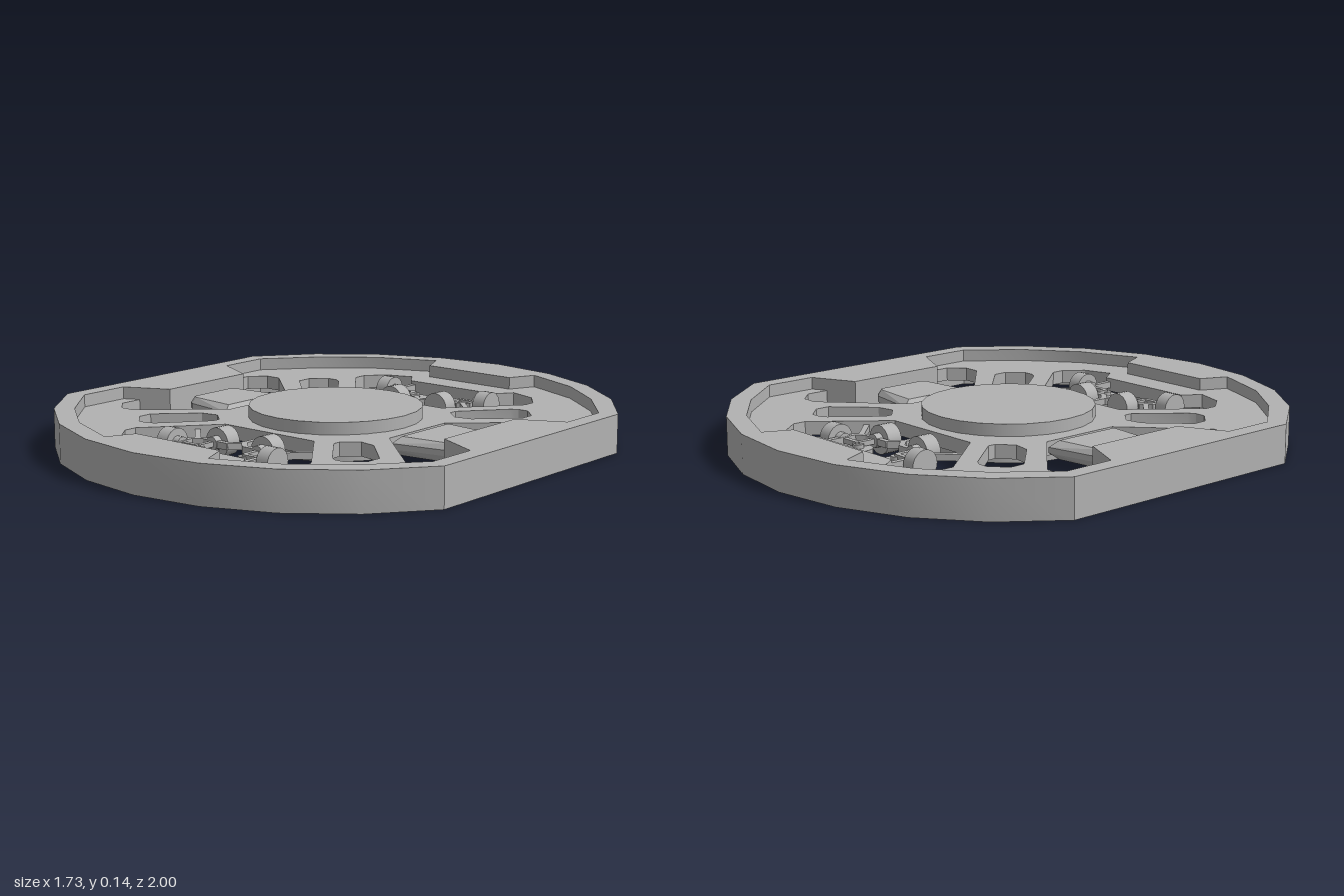
import * as THREE from 'three';
import { toCreasedNormals } from 'three/addons/utils/BufferGeometryUtils.js';
import { ConvexGeometry } from 'three/addons/geometries/ConvexGeometry.js';

const grey = new THREE.MeshStandardMaterial({ color: 0xb2b2b2 });
grey.name = 'hull grey';

const MID = 0.07; // mid height of the whole ring

function add(parent, name, geometry, x = 0, y = 0, z = 0) {
  const mesh = new THREE.Mesh(geometry, grey);
  mesh.name = name;
  mesh.position.set(x, y, z);
  parent.add(mesh);
  return mesh;
}

const flip = (pts, sx, sz) => pts.map(([x, z]) => [x * sx, z * sz]);

// Mirror a quarter outline (from the x axis round to the z axis) into a closed loop
function fourWay(q) {
  return [...q, ...flip(q, -1, 1).reverse(), ...flip(q, -1, -1), ...flip(q, 1, -1).reverse()];
}

const toPath = (pts, Type = THREE.Path) => new Type(pts.map(([x, z]) => new THREE.Vector2(x, z)));

// Horizontal slab with holes between two heights
function slab(outline, holes, y0, y1) {
  const shape = toPath(outline, THREE.Shape);
  shape.holes = holes.map((h) => toPath(h));
  const g = new THREE.ExtrudeGeometry(shape, { depth: y1 - y0, bevelEnabled: false });
  g.rotateX(-Math.PI / 2).translate(0, y0, 0);
  return toCreasedNormals(g, 0.35);
}

// Bar lying flat between two points
function bar(parent, name, [x0, z0], [x1, z1], width, height, y = MID) {
  const length = Math.hypot(x1 - x0, z1 - z0);
  const m = add(parent, name, new THREE.BoxGeometry(length, height, width), (x0 + x1) / 2, y, (z0 + z1) / 2);
  m.rotation.y = -Math.atan2(z1 - z0, x1 - x0);
}

// Three small drums on a bent arm, for one quadrant
function thrusterCluster(sx, sz) {
  const g = new THREE.Group();
  g.name = 'thrusterCluster';
  const cx = 0.105 * sx, cz = 0.595 * sz;
  const drum = (len, r = 0.052) => new THREE.CylinderGeometry(r, r, len, 20);
  add(g, 'sideDrum', drum(0.05).rotateZ(Math.PI / 2), 0.231 * sx, MID, cz);
  add(g, 'sideNeck', drum(0.03, 0.025).rotateZ(Math.PI / 2), 0.195 * sx, MID, cz);
  add(g, 'innerDrum', drum(0.058).rotateX(Math.PI / 2), cx, MID, 0.475 * sz);
  add(g, 'innerNeck', drum(0.03, 0.025).rotateX(Math.PI / 2), cx, MID, 0.517 * sz);
  add(g, 'lowerDrum', drum(0.045), cx, 0.035, cz);
  bar(g, 'sideArm', [cx, cz], [0.2 * sx, cz], 0.018, 0.018);
  bar(g, 'innerArm', [cx, cz], [cx, 0.51 * sz], 0.018, 0.018);
  add(g, 'lowerNeck', drum(0.02, 0.02), cx, 0.062, cz);
  return g;
}

// Thin braces holding the clusters, for one quadrant
function braces(sx, sz) {
  const g = new THREE.Group();
  g.name = 'braces';
  const links = [
    [[0, 0.48], [0.04, 0.52]],
    [[0.035, 0.52], [0.155, 0.52]],
    [[0.15, 0.52], [0.187, 0.545]],
    [[0.187, 0.54], [0.187, 0.70]],
    [[0.17, 0.53], [0.27, 0.43]],
  ];
  for (const [a, b] of links) {
    bar(g, 'brace', [a[0] * sx, a[1] * sz], [b[0] * sx, b[1] * sz], 0.02, 0.024);
  }
  return g;
}

// Chamfered pod, wider towards the hub
function podGeometry(s) {
  const pts = [];
  const ring = (y, xIn, xOut, zIn, zOut) => {
    for (const k of [-1, 1]) {
      pts.push(new THREE.Vector3(xIn * s, y, zIn * k), new THREE.Vector3((xOut - 0.02) * s, y, (zOut + 0.015) * k),
        new THREE.Vector3(xOut * s, y, zOut * k));
    }
  };
  ring(0.035, 0.405, 0.61, 0.13, 0.095);
  ring(0.06, 0.387, 0.617, 0.163, 0.11);
  ring(0.08, 0.387, 0.617, 0.163, 0.11);
  ring(0.102, 0.405, 0.61, 0.13, 0.095);
  return new ConvexGeometry(pts);
}

export function createModel() {
  const model = new THREE.Group();
  model.name = 'ringPlatform';

  // Outer rim: a 24-sided circle cut flat on both sides
  const arc = [2, 3, 4, 5, 6].map((i) => [Math.cos(i * Math.PI / 12), Math.sin(i * Math.PI / 12)]);
  const outer = fourWay(arc.slice(0, 4));
  outer.splice(4, 0, [0, 1]);
  outer.splice(13, 0, [0, -1]);
  const inner = fourWay([[0.637, 0.2], [0.802, 0.28], [0.802, 0.475], [0.65, 0.66], [0.465, 0.805],
    [0.238, 0.9], [0.192, 0.8]]);
  add(model, 'rim', slab(outer, [inner], 0, 0.14));

  // Spoked plate, set into the rim
  const side = [[0.37, 0.155], [0.63, 0.395], [0.69, 0.395], [0.745, 0.34], [0.745, 0.24], [0.66, 0.2]];
  const end = [[0.205, 0.355], [0.405, 0.6], [0.405, 0.65], [0.35, 0.72], [0.245, 0.755], [0.2, 0.69]];
  const slot = [[0.28, 0.34], [0.41, 0.5], [0.435, 0.515], [0.475, 0.515], [0.53, 0.46], [0.53, 0.405],
    [0.4, 0.275], [0.335, 0.262], [0.28, 0.31]];
  const holes = [];
  for (const s of [-1, 1]) {
    holes.push([...flip(side, s, 1), ...flip(side, s, -1).reverse()]);
    holes.push([...flip(end, 1, s), ...flip(end, -1, s).reverse()]);
    for (const t of [-1, 1]) holes.push(flip(slot, s, t));
  }
  add(model, 'spokedPlate', slab(flip(outer, 0.96, 0.96), holes, 0.045, 0.095));

  // Central hub disc
  const hub = new THREE.CylinderGeometry(0.312, 0.312, 0.138, 24);
  add(model, 'hub', hub, 0, MID, 0);

  // Side pods, thruster clusters and braces
  for (const s of [-1, 1]) {
    add(model, 'sidePod', podGeometry(s));
    bar(model, 'centreBrace', [0, 0.34 * s], [0, 0.485 * s], 0.02, 0.024);
    for (const t of [-1, 1]) {
      model.add(thrusterCluster(s, t), braces(s, t));
    }
  }
  return model;
}
